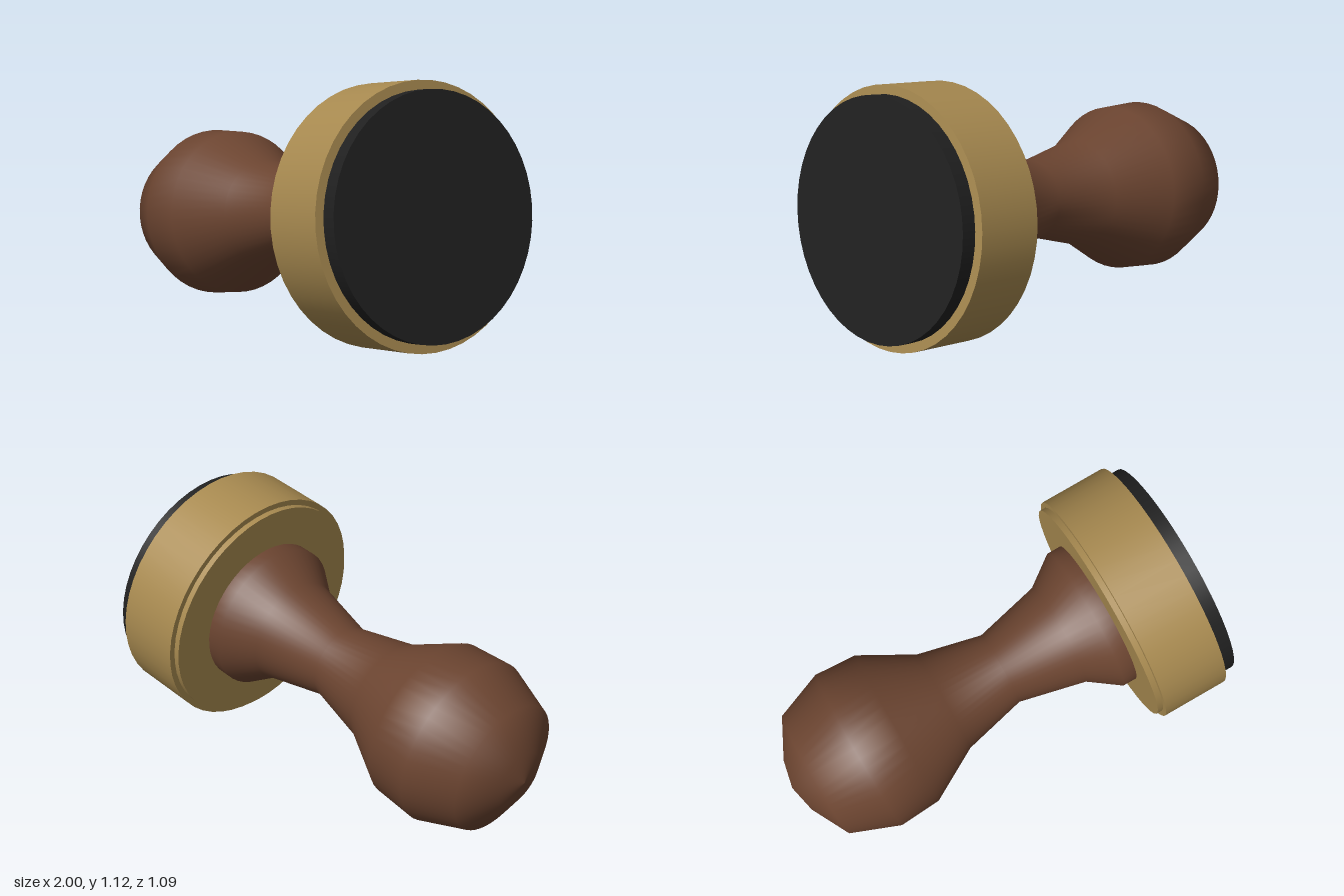
import * as THREE from 'three';

const SIDES = 48;
const material = (name, color) => {
  const m = new THREE.MeshStandardMaterial({ color });
  m.name = name;
  return m;
};

export function createModel() {
  const wood = material('brown wood', 0x6b4430);
  const brass = material('brass', 0xa88a50);
  const rubber = material('black rubber', 0x202020);

  // Built upright along y, with the stamping face at y = 0 and the handle below it
  const stamp = new THREE.Group();
  stamp.name = 'handStamp';

  const add = (name, geometry, mat, y = 0) => {
    const mesh = new THREE.Mesh(geometry, mat);
    mesh.name = name;
    mesh.position.y = y;
    stamp.add(mesh);
  };
  const disc = (name, radius, low, high, mat) =>
    add(name, new THREE.CylinderGeometry(radius, radius, high - low, SIDES), mat, (low + high) / 2);

  // Turned handle, from the knob's tip to the collar: [radius, y]
  const profile = [
    [0, -1.95], [0.128, -1.92], [0.298, -1.83], [0.382, -1.613], [0.37, -1.42],
    [0.238, -1.182], [0.17, -0.893], [0.24, -0.592], [0.338, -0.457], [0.338, -0.38],
  ].map(([r, y]) => new THREE.Vector2(r, y));
  add('handle', new THREE.LatheGeometry(profile, SIDES), wood);

  // Brass head with a slightly narrower step at the back
  disc('backStep', 0.519, -0.394, -0.36, brass);
  disc('head', 0.545, -0.368, -0.065, brass);

  // Rubber stamping pad
  disc('pad', 0.506, -0.075, 0, rubber);

  // Lay the stamp down so it rests on the knob and the head's rim
  stamp.rotation.z = -Math.PI / 2 + 0.1244;
  stamp.position.set(0.9375, 0.588, 0);

  const model = new THREE.Group();
  model.name = 'model';
  model.add(stamp);
  return model;
}
